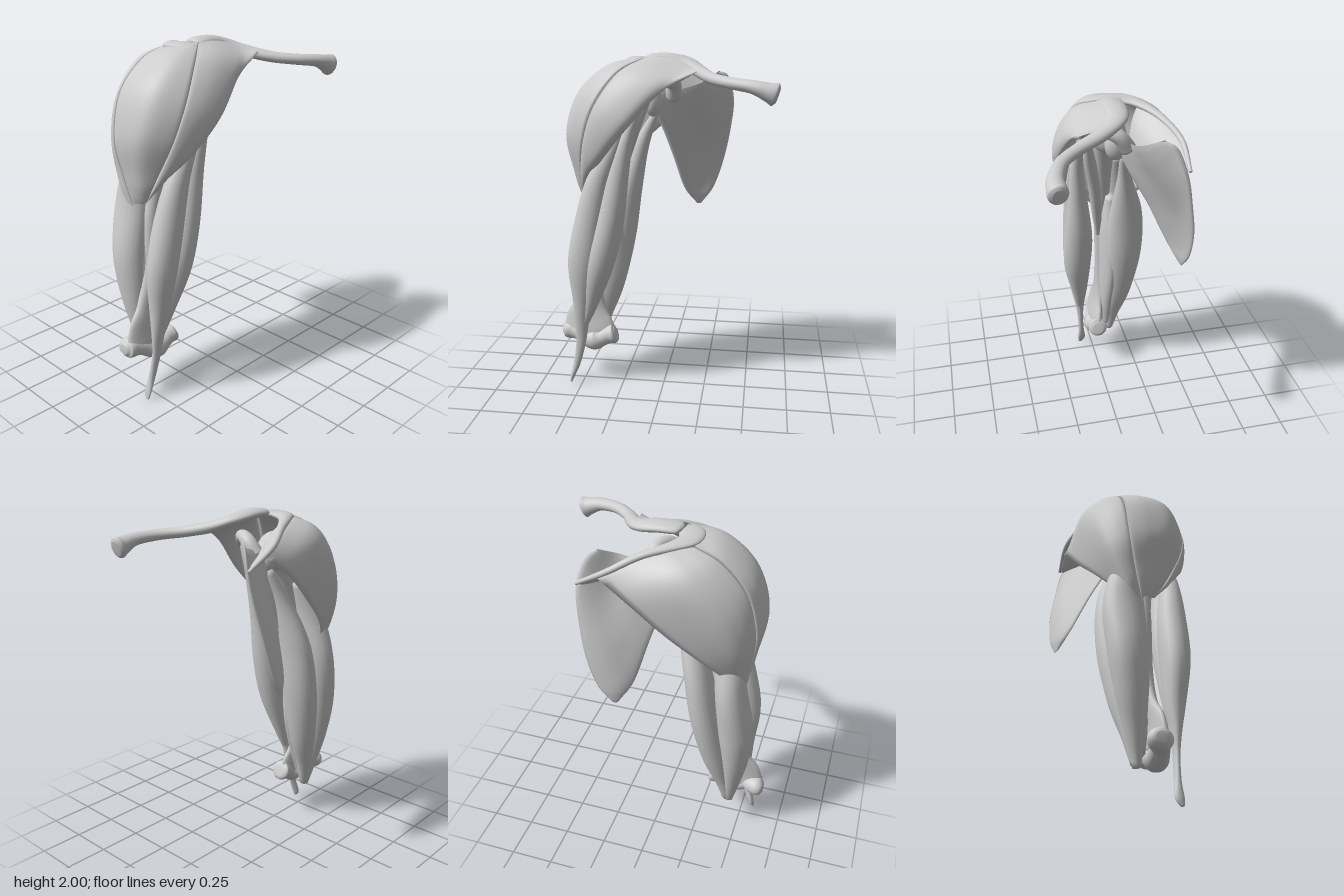
import * as THREE from 'three';

const V = (p) => new THREE.Vector3(p[0], p[1], p[2]);
const curve = (pts) => new THREE.CatmullRomCurve3(pts, false, 'catmullrom', 0.5);

// Skin closed rings of points, with optional end caps
function skin(rings, caps) {
  const n = rings[0].length, pos = [], index = [];
  rings.forEach((r) => r.forEach((p) => pos.push(p.x, p.y, p.z)));
  for (let i = 0; i < rings.length - 1; i++) {
    for (let j = 0; j < n; j++) {
      const a = i * n + j, b = i * n + (j + 1) % n;
      index.push(a, b, a + n, b, b + n, a + n);
    }
  }
  if (caps) {
    [0, rings.length - 1].forEach((i) => {
      const c = new THREE.Vector3();
      rings[i].forEach((p) => c.addScaledVector(p, 1 / n));
      const k = pos.length / 3;
      pos.push(c.x, c.y, c.z);
      for (let j = 0; j < n; j++) {
        const a = i * n + j, b = i * n + (j + 1) % n;
        if (i) index.push(k, a, b); else index.push(k, b, a);
      }
    });
  }
  const g = new THREE.BufferGeometry();
  g.setAttribute('position', new THREE.Float32BufferAttribute(pos, 3));
  g.setIndex(index);
  g.computeVertexNormals();
  return g;
}

// Elliptical sweep; each station is [x, y, z, half width, half depth]
function sweep(stations, ref = [0, 0, 1], steps = 48, sides = 24) {
  const path = curve(stations.map(V));
  const size = curve(stations.map((s) => new THREE.Vector3(s[3], s[4] ?? s[3], 0)));
  const rings = [];
  for (let i = 0; i <= steps; i++) {
    const c = path.getPoint(i / steps), s = size.getPoint(i / steps);
    const T = path.getTangent(i / steps);
    const side = T.clone().cross(V(ref)).normalize();
    const up = T.clone().cross(side);
    rings.push(Array.from({ length: sides }, (_, j) => {
      const a = j / sides * Math.PI * 2;
      return c.clone().addScaledVector(side, s.x * Math.cos(a)).addScaledVector(up, s.y * Math.sin(a));
    }));
  }
  return skin(rings, true);
}

// Curved sheet through guide lines, swelling between its edges
function sheet(lines, thickness, bulge, nu = 20, nv = 40) {
  const guides = lines.map((l) => curve(l.map(V)));
  const rings = [];
  for (let i = 0; i <= nv; i++) {
    const v = i / nv, e = 0.01;
    const across = (t) => curve(guides.map((g) => g.getPoint(Math.min(1, Math.max(0, t)))));
    const here = across(v), before = across(v - e), after = across(v + e);
    const fade = Math.min(1, Math.sqrt(8 * v), Math.sqrt(8 * (1 - v)));
    const outer = [], inner = [];
    for (let j = 0; j <= nu; j++) {
      const u = j / nu, p = here.getPoint(u);
      const n = here.getTangent(u).cross(after.getPoint(u).sub(before.getPoint(u))).normalize();
      const k = Math.sqrt(Math.max(0, 4 * u * (1 - u))) * fade;
      outer.push(p.clone().addScaledVector(n, bulge * k));
      if (j > 0 && j < nu) inner.unshift(p.clone().addScaledVector(n, -thickness * k));
    }
    rings.push([...outer, ...inner]);
  }
  return skin(rings, false);
}

export function createModel() {
  const model = new THREE.Group();
  const grey = new THREE.MeshStandardMaterial({ color: 0xcccccc, side: THREE.DoubleSide });
  grey.name = 'paleGrey';
  const add = (name, geometry) => {
    const m = new THREE.Mesh(geometry, grey);
    m.name = name;
    model.add(m);
    return m;
  };
  const ball = (name, [x, y, z], [rx, ry, rz]) => {
    const m = add(name, new THREE.SphereGeometry(1, 28, 18));
    m.position.set(x, y, z);
    m.scale.set(rx, ry, rz);
  };

  // Collarbone
  add('collarbone', sweep([
    [-0.1, 1.965, -0.025, 0.025, 0.015], [-0.07, 1.97, -0.025, 0.06, 0.025], [0.03, 1.97, -0.03, 0.062, 0.028],
    [0.12, 1.95, -0.01, 0.06, 0.03], [0.2, 1.91, 0.08, 0.045, 0.032], [0.28, 1.88, 0.21, 0.036, 0.03],
    [0.38, 1.865, 0.31, 0.036, 0.03], [0.5, 1.85, 0.36, 0.042, 0.035], [0.58, 1.825, 0.368, 0.05, 0.05],
    [0.61, 1.815, 0.366, 0.05, 0.06], [0.625, 1.81, 0.365, 0.03, 0.04]], [0, 1, 0]));

  // Shoulder blade: plate, ridge, shelf, hook and socket
  add('shoulderBlade', sheet([
    [[-0.12, 1.75, -0.04], [-0.04, 1.6, -0.11], [0.02, 1.4, -0.22], [0.08, 1.18, -0.32], [0.15, 1.07, -0.38]],
    [[0.07, 1.79, -0.1], [0.1, 1.6, -0.19], [0.12, 1.4, -0.28], [0.14, 1.2, -0.355], [0.16, 1.06, -0.385]],
    [[0.2, 1.83, -0.13], [0.24, 1.64, -0.25], [0.23, 1.42, -0.345], [0.2, 1.2, -0.385], [0.18, 1.06, -0.39]],
    [[0.29, 1.89, -0.22], [0.34, 1.86, -0.28], [0.375, 1.72, -0.33], [0.36, 1.55, -0.365], [0.32, 1.35, -0.4],
      [0.26, 1.17, -0.405], [0.19, 1.07, -0.39]],
  ], 0.014, 0.014));
  add('bladeRidge', sheet([
    [[0.36, 1.75, -0.34], [0.2, 1.84, -0.34], [0.05, 1.92, -0.27], [-0.1, 1.955, -0.19]],
    [[0.355, 1.74, -0.33], [0.21, 1.79, -0.28], [0.08, 1.83, -0.2], [-0.05, 1.87, -0.14]],
    [[0.35, 1.73, -0.32], [0.22, 1.74, -0.22], [0.1, 1.73, -0.15], [0, 1.76, -0.11]],
  ], 0.012, 0.012));
  add('shoulderShelf', sweep([
    [0.37, 1.745, -0.338, 0.01, 0.01], [0.2, 1.84, -0.34, 0.016, 0.016], [0.05, 1.915, -0.27, 0.022, 0.018],
    [-0.08, 1.945, -0.19, 0.035, 0.02], [-0.15, 1.955, -0.11, 0.06, 0.02], [-0.15, 1.96, -0.03, 0.065, 0.02],
    [-0.13, 1.96, 0.04, 0.03, 0.01]], [0, 1, 0]));
  add('bladeHook', sweep([
    [0.04, 1.75, -0.1, 0.045], [0.05, 1.83, -0.04, 0.04], [0.01, 1.845, 0.04, 0.034],
    [-0.06, 1.8, 0.11, 0.028], [-0.08, 1.78, 0.13, 0.01]], [1, 0, 0], 24));
  ball('shoulderSocket', [-0.07, 1.73, -0.06], [0.05, 0.09, 0.065]);

  // Upper arm bone, flaring into a knobbly elbow end
  ball('armBoneHead', [-0.18, 1.75, -0.04], [0.11, 0.11, 0.1]);
  add('armBone', sweep([
    [-0.21, 1.74, -0.03, 0.09, 0.08], [-0.27, 1.58, -0.03, 0.06], [-0.35, 1.3, -0.04, 0.045],
    [-0.4, 1.05, -0.045, 0.045], [-0.42, 0.75, -0.045, 0.042], [-0.45, 0.54, -0.035, 0.075, 0.035],
    [-0.47, 0.42, -0.02, 0.135, 0.035], [-0.468, 0.32, -0.01, 0.16, 0.045], [-0.468, 0.29, -0.01, 0.14, 0.04]]));
  add('elbowEnd', sweep([
    [-0.64, 0.31, -0.04, 0.03], [-0.615, 0.31, -0.04, 0.056, 0.063], [-0.575, 0.31, -0.03, 0.06, 0.062],
    [-0.53, 0.3, -0.01, 0.05], [-0.48, 0.275, 0, 0.056], [-0.43, 0.266, 0.005, 0.066], [-0.385, 0.28, 0.005, 0.053],
    [-0.345, 0.3, 0, 0.056], [-0.31, 0.31, 0, 0.06], [-0.296, 0.315, 0, 0.035]], [0, 0, 1], 60));

  // Shoulder cap muscle in three overlapping sections
  const frontSeam = [[-0.1, 1.978, 0.03], [-0.24, 1.895, 0.145], [-0.36, 1.72, 0.205], [-0.43, 1.52, 0.18],
    [-0.465, 1.32, 0.09], [-0.47, 1.16, 0]];
  const backSeam = [[-0.2, 1.95, -0.16], [-0.35, 1.88, -0.17], [-0.48, 1.73, -0.18], [-0.535, 1.5, -0.17],
    [-0.515, 1.3, -0.13], [-0.49, 1.13, -0.085]];
  add('shoulderMuscleFront', sheet([
    [[0.2, 1.91, 0.19], [0.02, 1.81, 0.215], [-0.16, 1.62, 0.25], [-0.31, 1.44, 0.195], [-0.42, 1.3, 0.09], [-0.46, 1.19, 0.01]],
    [[0.17, 1.935, 0.08], [-0.01, 1.85, 0.205], [-0.2, 1.65, 0.26], [-0.345, 1.455, 0.205], [-0.435, 1.305, 0.1], [-0.462, 1.18, 0.005]],
    [[0.03, 1.98, 0.015], [-0.12, 1.885, 0.18], [-0.28, 1.69, 0.24], [-0.39, 1.485, 0.195], [-0.45, 1.31, 0.1], [-0.465, 1.17, 0]],
    frontSeam], 0.04, 0.014));
  add('shoulderMuscleMiddle', sheet([
    frontSeam,
    [[-0.14, 1.972, 0], [-0.31, 1.915, 0.06], [-0.46, 1.77, 0.085], [-0.535, 1.55, 0.075], [-0.51, 1.32, 0.02], [-0.48, 1.15, -0.03]],
    [[-0.17, 1.96, -0.08], [-0.33, 1.91, -0.07], [-0.49, 1.76, -0.06], [-0.55, 1.53, -0.055], [-0.52, 1.32, -0.055], [-0.49, 1.15, -0.06]],
    backSeam], 0.05, 0.012));
  add('shoulderMuscleBack', sheet([
    backSeam,
    [[-0.12, 1.94, -0.2], [-0.275, 1.865, -0.26], [-0.42, 1.69, -0.26], [-0.49, 1.47, -0.23], [-0.5, 1.28, -0.165], [-0.49, 1.12, -0.1]],
    [[-0.02, 1.92, -0.24], [-0.15, 1.82, -0.335], [-0.32, 1.64, -0.325], [-0.43, 1.44, -0.275], [-0.48, 1.25, -0.19], [-0.49, 1.11, -0.11]],
    [[0.25, 1.8, -0.345], [0.08, 1.68, -0.36], [-0.1, 1.52, -0.34], [-0.28, 1.36, -0.29], [-0.42, 1.2, -0.2], [-0.48, 1.1, -0.12]],
  ], 0.04, 0.015));

  // Front arm muscle: two bellies and a long lower tendon
  add('frontArmOuterBelly', sweep([
    [-0.16, 1.77, 0.11, 0.018], [-0.24, 1.55, 0.14, 0.032], [-0.355, 1.3, 0.13, 0.068, 0.058],
    [-0.415, 1.05, 0.115, 0.09, 0.08], [-0.458, 0.8, 0.11, 0.097, 0.08], [-0.478, 0.55, 0.095, 0.06, 0.055],
    [-0.49, 0.4, 0.09, 0.042, 0.03], [-0.5, 0.28, 0.085, 0.03, 0.018], [-0.53, 0.14, 0.075, 0.022, 0.018],
    [-0.56, 0.05, 0.07, 0.014, 0.025], [-0.572, 0.005, 0.08, 0.006, 0.01]]));
  add('frontArmInnerBelly', sweep([
    [-0.08, 1.79, 0.12, 0.018], [-0.17, 1.6, 0.14, 0.032], [-0.24, 1.35, 0.13, 0.06, 0.055],
    [-0.3, 1.05, 0.12, 0.083, 0.085], [-0.365, 0.8, 0.12, 0.085, 0.083], [-0.43, 0.55, 0.1, 0.05, 0.048],
    [-0.48, 0.38, 0.09, 0.02, 0.02]]));
  add('innerArmStrap', sweep([
    [-0.07, 1.77, 0.1, 0.018], [-0.16, 1.6, 0.07, 0.04, 0.035], [-0.24, 1.4, 0.03, 0.045, 0.035],
    [-0.32, 1.18, 0, 0.035, 0.03], [-0.38, 1, -0.02, 0.015]]));

  // Back arm muscle: three heads meeting above the elbow
  add('backArmInnerHead', sweep([
    [-0.06, 1.66, -0.1, 0.02], [-0.15, 1.47, -0.13, 0.045, 0.045], [-0.23, 1.2, -0.16, 0.075, 0.1],
    [-0.285, 0.9, -0.16, 0.088, 0.11], [-0.345, 0.6, -0.14, 0.078, 0.085], [-0.4, 0.38, -0.115, 0.05, 0.05],
    [-0.425, 0.23, -0.1, 0.03, 0.025]]));
  add('backArmOuterHead', sweep([
    [-0.3, 1.56, -0.11, 0.03], [-0.39, 1.35, -0.14, 0.075, 0.08], [-0.425, 1.1, -0.165, 0.088, 0.115],
    [-0.463, 0.83, -0.155, 0.1, 0.11], [-0.468, 0.6, -0.135, 0.08, 0.09], [-0.455, 0.4, -0.115, 0.055, 0.058],
    [-0.435, 0.21, -0.1, 0.03, 0.02]]));
  add('backArmDeepHead', sweep([
    [-0.3, 1.3, -0.08, 0.03], [-0.34, 1.05, -0.085, 0.1, 0.06], [-0.375, 0.75, -0.085, 0.13, 0.06],
    [-0.41, 0.48, -0.08, 0.09, 0.05], [-0.43, 0.28, -0.085, 0.04, 0.03]]));

  return model;
}
